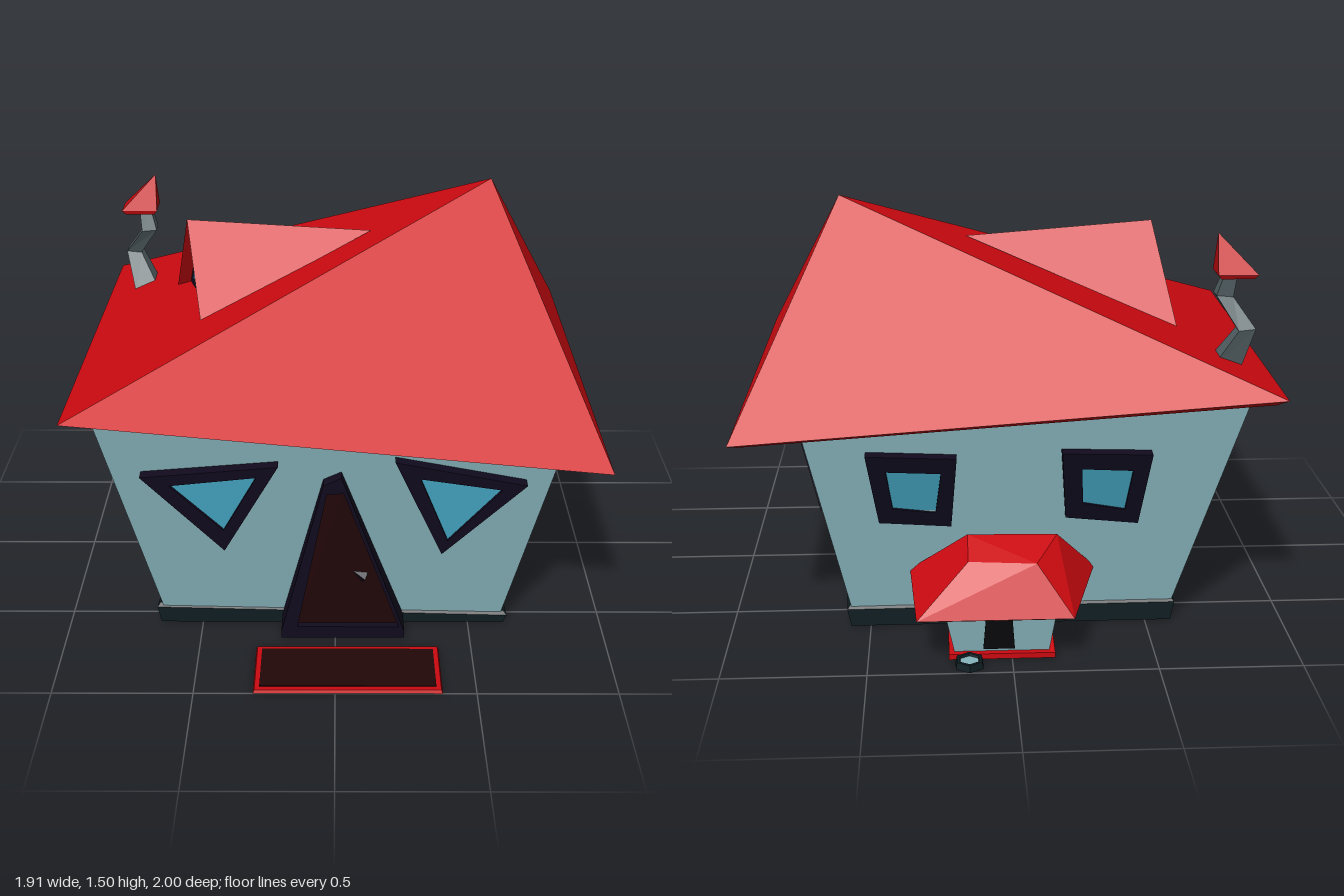
import * as THREE from 'three';

const paint = (color) => new THREE.MeshStandardMaterial({ color, flatShading: true, side: THREE.DoubleSide });

export function createModel() {
  const model = new THREE.Group();
  const red = paint(0xcc0a10), wall = paint(0x88b5be), glass = paint(0x45a8c6), trim = paint(0x110b1e);
  const wood = paint(0x220708), stone = paint(0x0e1d21), metal = paint(0x566468), black = paint(0x0a0a0c);

  const add = (name, geometry, material, parent = model) => {
    const mesh = new THREE.Mesh(geometry, material);
    mesh.name = name;
    parent.add(mesh);
    return mesh;
  };

  // Skin a stack of rings; corners run front right, back right, back left, front left
  function loft(rings, capStart = true, capEnd = true) {
    const pos = [];
    const tri = (...points) => points.forEach((p) => pos.push(...p));
    for (let r = 0; r < rings.length - 1; r++) {
      const a = rings[r], b = rings[r + 1];
      a.forEach((p, i) => {
        const j = (i + 1) % a.length;
        tri(p, a[j], b[j]);
        tri(p, b[j], b[i]);
      });
    }
    const first = rings[0], last = rings[rings.length - 1];
    for (let i = 1; i < first.length - 1; i++) {
      if (capStart) tri(first[0], first[i + 1], first[i]);
      if (capEnd) tri(last[0], last[i], last[i + 1]);
    }
    const g = new THREE.BufferGeometry();
    g.setAttribute('position', new THREE.Float32BufferAttribute(pos, 3));
    g.computeVertexNormals();
    return g;
  }

  // Level rectangle ring, and a small tilted square one
  const rect = (x0, x1, y, z0, z1) => [[x1, y, z1], [x1, y, z0], [x0, y, z0], [x0, y, z1]];
  const square = (x, y, z, h, tilt = 0) =>
    rect(x - h, x + h, y, z - h, z + h).map(([a, b, c]) => [a, b + (a - x) * tilt, c]);

  // Extruded outline laid on a leaning wall: its face is at z = offset + slope * y
  function panel(outline, hole, offset, slope, depth) {
    const shape = new THREE.Shape(outline.map((p) => new THREE.Vector2(...p)));
    if (hole) shape.holes.push(new THREE.Path(hole.map((p) => new THREE.Vector2(...p))));
    const g = new THREE.ExtrudeGeometry(shape, { depth, bevelEnabled: false });
    const p = g.attributes.position;
    for (let i = 0; i < p.count; i++) p.setZ(i, p.getZ(i) - depth + offset + slope * p.getY(i));
    g.computeVertexNormals();
    return g;
  }

  function addWindow(name, outline, hole, offset, slope, turn, depth = 0.1, pane = glass) {
    const group = new THREE.Group();
    group.name = name;
    group.rotation.y = turn;
    add('windowFrame', panel(outline, hole, offset, slope, depth), trim, group);
    add('windowPane', panel(hole, null, offset - 0.012, slope, 0.015), pane, group);
    model.add(group);
  }

  // Walls, wider at the top and narrower at the back
  add('walls', loft([
    [[0.617, 0, 0.55], [0.555, 0, -0.615], [-0.575, 0, -0.615], [-0.632, 0, 0.55]],
    [[0.797, 0.79, 0.67], [0.725, 0.79, -0.72], [-0.843, 0.9, -0.73], [-0.843, 0.9, 0.685]],
  ], false, false), wall);

  // Stone skirt, an uneven ring
  const skirt = (s, tops, lean) => [[0.635 + lean - s, tops[0], 0.565 - s], [0.572 + lean - s, tops[1], -0.632 + s],
    [-0.595 - lean + s, tops[2], -0.632 + s], [-0.658 - lean + s, tops[3], 0.565 - s]];
  const foot = [0, 0, 0, 0], middle = [0.03, 0.065, 0.07, 0.065], top = [0.042, 0.08, 0.085, 0.08];
  add('skirt', loft([skirt(0, foot, 0), skirt(0, middle, 0.013), skirt(0.012, top, 0.013),
    skirt(0.045, top, 0.013), skirt(0.035, foot, 0), skirt(0, foot, 0)], false, false), stone);

  // Crooked hip roof
  const eaves = [[0.92, 0.765, 0.78], [0.92, 0.765, -0.82], [-0.9, 0.88, -0.8], [-0.905, 0.882, 0.665]];
  add('roof', loft([
    eaves,
    [[0.952, 0.78, 0.82], [0.952, 0.78, -0.855], [-0.938, 0.905, -0.835], [-0.957, 0.907, 0.705]],
    Array(4).fill([0.595, 1.505, -0.2]),
  ], false, false), red);
  add('soffit', loft([eaves], true, false), wood);

  // Dormer: two sheets meeting at a ridge, with a triangular window set back under them
  const gable = [[-0.636, 1.025, -0.305], [-0.5, 1.075, 0.195], [-0.564, 1.38, -0.08]];
  const tip = [0.135, 1.33, -0.1];
  const mix = (p, q, t) => p.map((v, i) => v + (q[i] - v) * t);
  const [farFoot, nearFoot, peak] = gable;
  add('dormerRoof', loft([[nearFoot, peak, farFoot], Array(3).fill(tip)], false, false), red);
  const centre = mix(mix(farFoot, nearFoot, 0.5), peak, 1 / 3);
  const section = (scale, back) => gable.map((p) => mix(mix(centre, p, scale), tip, back));
  add('dormerFrame', loft([section(0.99, 0.1), section(0.99, 0.07)]), trim);
  add('dormerPane', loft([section(0.5, 0.08), section(0.5, 0.055)]), glass);

  // Bent chimney with a pointed cap
  add('chimneyPipe', loft([
    square(-0.775, 0.93, -0.49, 0.052), square(-0.837, 1.085, -0.555, 0.03, -0.1),
    square(-0.763, 1.195, -0.502, 0.03, 0.1), square(-0.78, 1.285, -0.525, 0.022),
  ]), metal);
  add('chimneyCap', loft([
    rect(-0.855, -0.74, 1.265, -0.57, -0.475),
    rect(-0.87, -0.728, 1.28, -0.578, -0.47), Array(4).fill([-0.732, 1.42, -0.52]),
  ], true, false), red);

  // Front triangle windows
  addWindow('frontRightWindow', [[-0.687, 0.7], [-0.4, 0.38], [-0.2, 0.745]],
    [[-0.585, 0.665], [-0.4, 0.47], [-0.277, 0.7]], 0.625, 0.11, 0, 0.2);
  addWindow('frontLeftWindow', [[0.21, 0.765], [0.385, 0.365], [0.677, 0.667]],
    [[0.3, 0.695], [0.405, 0.425], [0.59, 0.648]], 0.625, 0.11, 0, 0.2);

  // Long side windows, mirrored and turned with the walls
  const long = [[-0.335, 0.695], [-0.372, 0.37], [0.41, 0.375], [0.378, 0.668]];
  const longHole = [[-0.303, 0.63], [-0.314, 0.433], [0.346, 0.44], [0.33, 0.588]];
  const mirror = (points) => points.map(([u, v]) => [-u, v]);
  const sideTurn = Math.PI / 2 + 0.05;
  addWindow('leftSideWindow', long, longHole, 0.612, 0.246, sideTurn, 0.1, wall);
  addWindow('rightSideWindow', mirror(long), mirror(longHole), 0.597, 0.335, -sideTurn);

  // Back windows
  addWindow('backLeftWindow', [[-0.5, 0.7], [-0.46, 0.42], [-0.205, 0.4], [-0.185, 0.685]],
    [[-0.43, 0.635], [-0.41, 0.48], [-0.26, 0.46], [-0.24, 0.625]], 0.55, 0.295, Math.PI);
  addWindow('backRightWindow', [[0.18, 0.7], [0.2, 0.43], [0.46, 0.4], [0.495, 0.69]],
    [[0.25, 0.635], [0.26, 0.49], [0.41, 0.46], [0.43, 0.625]], 0.55, 0.295, Math.PI);

  // Pointed door with frame and handle
  const doorway = [[-0.14, 0.05], [0.235, 0.05], [0.03, 0.635], [-0.03, 0.63]];
  add('doorFrame', panel([[-0.2, 0], [0.256, 0], [0.256, 0.03], [0.022, 0.7], [-0.042, 0.667], [-0.2, 0.03]],
    doorway, 0.667, 0.05, 0.16), trim);
  add('door', panel(doorway, null, 0.64, 0.05, 0.03), wood);
  const handle = add('doorHandle', new THREE.ConeGeometry(0.022, 0.05, 4), trim);
  handle.position.set(0.087, 0.275, 0.658);
  handle.rotation.z = Math.PI / 3;

  // Doormat
  add('matBorder', loft([rect(-0.29, 0.38, 0, 0.735, 1), rect(-0.285, 0.375, 0.012, 0.74, 0.995)]), red);
  add('matCentre', loft([rect(-0.268, 0.358, 0.005, 0.757, 0.975), rect(-0.268, 0.358, 0.015, 0.757, 0.975)]), wood);

  // Kennel behind the house, hollow and open below
  const kennel = new THREE.Group();
  kennel.name = 'kennel';
  model.add(kennel);
  const plinth = (s, front, back) => [[0.22 - s, front, -0.655 - s], [0.22 - s, back, -0.903 + s],
    [-0.15 + s, back, -0.903 + s], [-0.15 + s, front, -0.655 - s]];
  add('kennelBase', loft([plinth(0, 0, 0), plinth(0, 0.06, 0.02), plinth(0.04, 0.06, 0.02),
    plinth(0.04, 0, 0), plinth(0, 0, 0)], false, false), red, kennel);
  add('kennelWalls', loft([rect(-0.13, 0.2, 0.015, -0.88, -0.67), rect(-0.16, 0.24, 0.21, -0.905, -0.64)],
    false, false), wall, kennel);
  add('kennelDoor', panel([[-0.1, 0.03], [0.01, 0.03], [0.0, 0.16], [-0.09, 0.17]], null, 0.883, 0.128, 0.02),
    black, kennel).rotation.y = Math.PI;
  add('kennelRoof', loft([
    [[0.34, 0.2, -0.64], [0.3, 0.165, -0.94], [-0.18, 0.165, -0.94], [-0.28, 0.2, -0.64]],
    [[0.355, 0.222, -0.63], [0.33, 0.18, -0.967], [-0.21, 0.18, -0.967], [-0.31, 0.222, -0.63]],
    [[0.15, 0.4, -0.74], [0.15, 0.35, -0.86], [-0.085, 0.35, -0.885], [-0.165, 0.395, -0.74]],
  ]), red, kennel);

  // Food bowl
  const bowl = add('bowl', new THREE.LatheGeometry(
    [[0.055, 0], [0.05, 0.025], [0.038, 0.025], [0.032, 0.008]].map((p) => new THREE.Vector2(...p)), 6), stone, kennel);
  bowl.position.set(0.15, 0, -0.945);
  const food = add('bowlFilling', new THREE.CylinderGeometry(0.036, 0.034, 0.01, 6), wall, kennel);
  food.position.set(0.15, 0.012, -0.945);

  return model;
}
